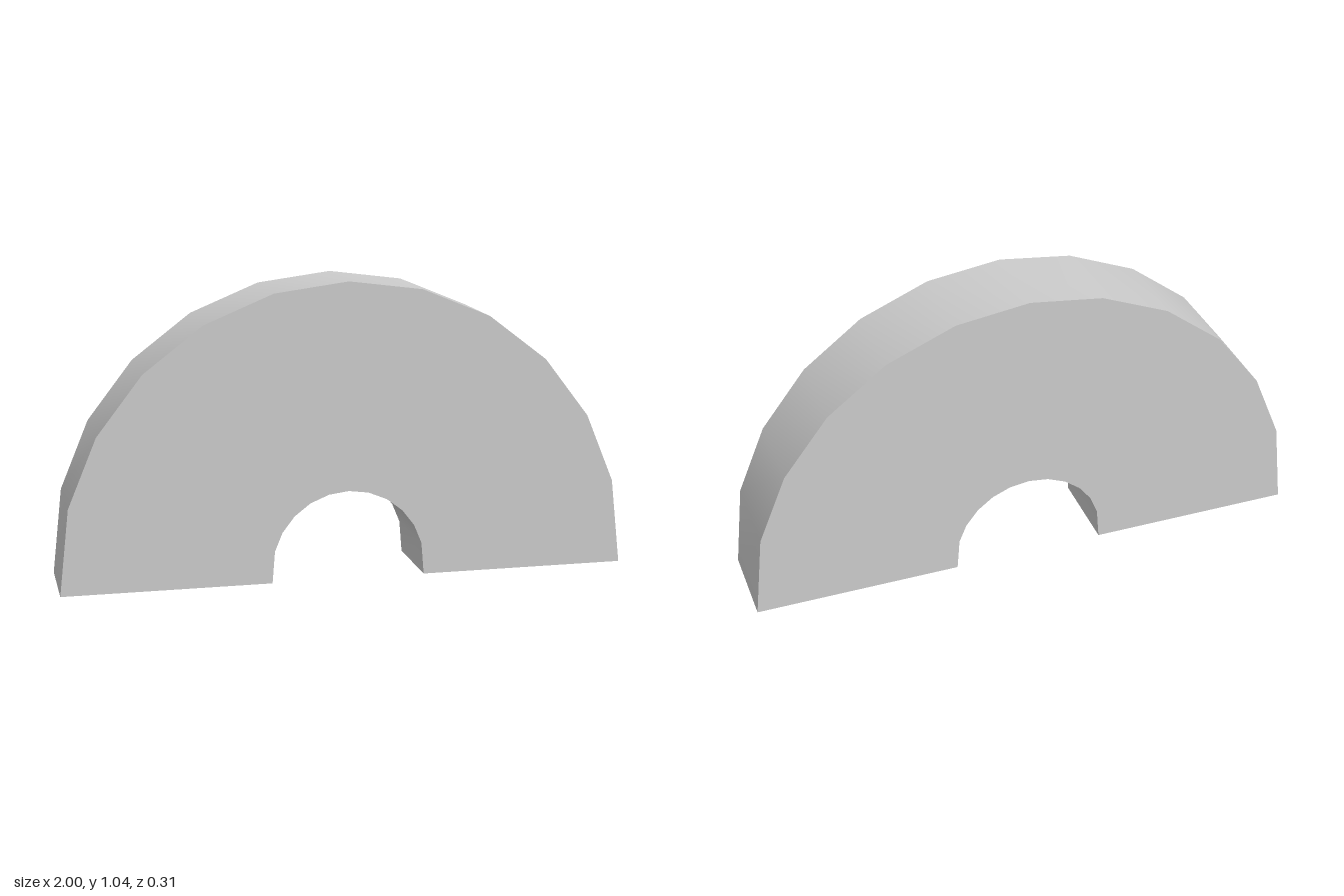
import * as THREE from 'three';
import { toCreasedNormals } from 'three/addons/utils/BufferGeometryUtils.js';

const DEPTH = 0.306;
const CENTRE_Y = 0.043; // arc centre sits slightly above the base
const STEPS = 12;

// Half-circle of points from +x to -x, with both ends dropped to the base
function arcPoints(radius) {
  return Array.from({ length: STEPS + 1 }, (_, i) => {
    const a = (i / STEPS) * Math.PI;
    const onBase = i === 0 || i === STEPS;
    return new THREE.Vector2(radius * Math.cos(a), onBase ? 0 : CENTRE_Y + radius * Math.sin(a));
  });
}

export function createModel() {
  const group = new THREE.Group();
  group.name = 'archBlock';

  // Outer arc one way, inner opening back again
  const shape = new THREE.Shape([...arcPoints(1), ...arcPoints(0.271).reverse()]);
  const geometry = new THREE.ExtrudeGeometry(shape, { depth: DEPTH, bevelEnabled: false });
  geometry.translate(0, 0, -DEPTH / 2);

  // Smooth curved faces, sharp rims and base edges
  const arch = new THREE.Mesh(
    toCreasedNormals(geometry, Math.PI / 6),
    new THREE.MeshStandardMaterial({ color: 0xcccccc })
  );
  arch.name = 'arch';
  group.add(arch);
  return group;
}
